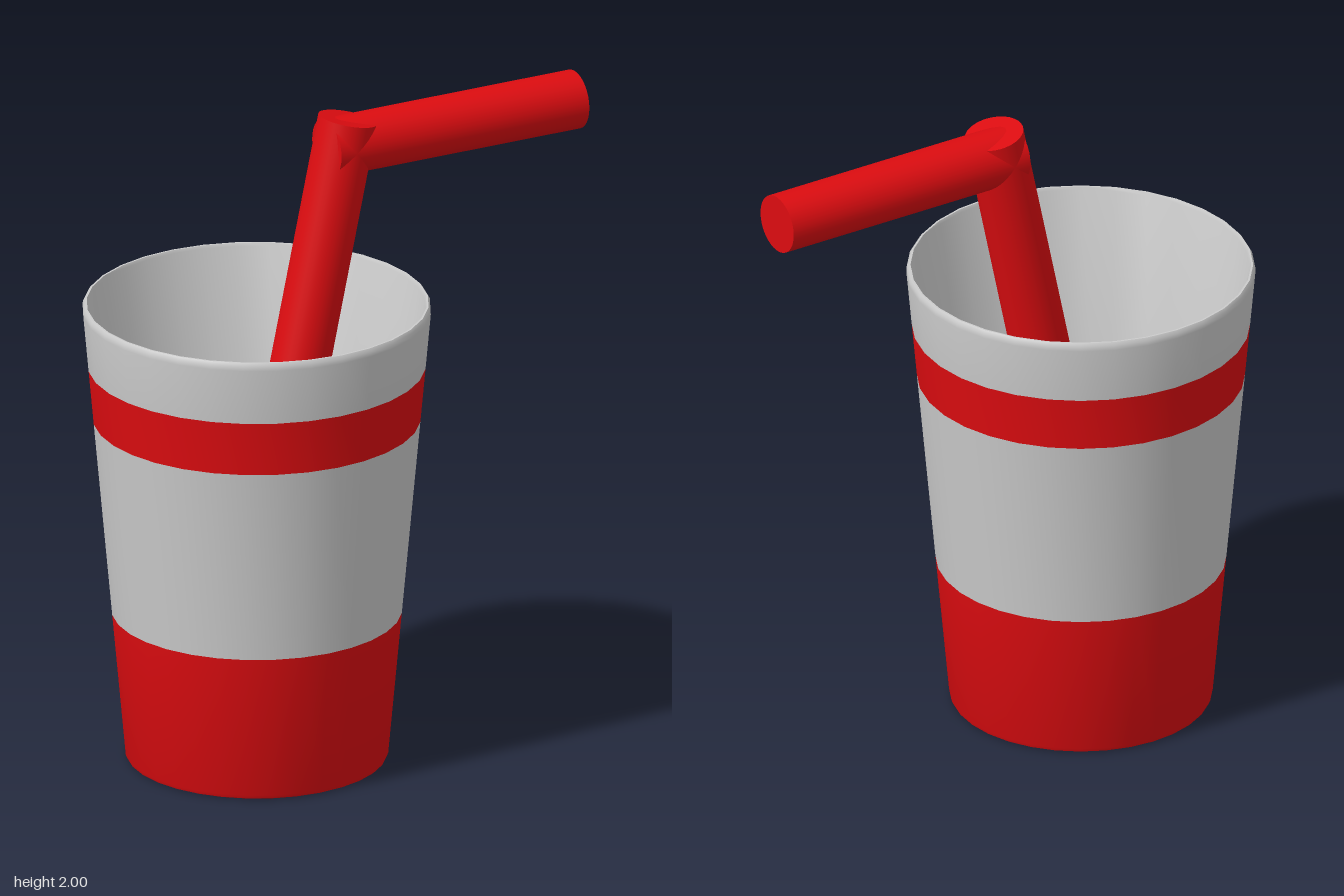
import * as THREE from 'three';
import { toCreasedNormals } from 'three/addons/utils/BufferGeometryUtils.js';

const SEGMENTS = 32;
const CUP_X = -0.287;
const STRAW_R = 0.09;

const grey = new THREE.MeshStandardMaterial({ color: 0xcccccc });
const red = new THREE.MeshStandardMaterial({ color: 0xdd0c10 });

// Outer radius of the tapered cup wall at height y
const wall = (y) => 0.395 + 0.091 * y;

// Surface of revolution about the cup axis, profile ordered bottom-outside-top-inside
function ring(name, profile, material) {
  const points = profile.map(([r, y]) => new THREE.Vector2(r, y));
  const geometry = toCreasedNormals(new THREE.LatheGeometry(points, SEGMENTS), 0.6);
  const mesh = new THREE.Mesh(geometry, material);
  mesh.name = name;
  return mesh;
}

// Closed straw tube between two points in the x-y plane
function strawTube(name, from, to) {
  const a = new THREE.Vector3(...from, 0);
  const b = new THREE.Vector3(...to, 0);
  const dir = b.clone().sub(a);
  const mesh = new THREE.Mesh(new THREE.CylinderGeometry(STRAW_R, STRAW_R, dir.length(), SEGMENTS), red);
  mesh.position.copy(a).add(b).multiplyScalar(0.5);
  mesh.quaternion.setFromUnitVectors(new THREE.Vector3(0, 1, 0), dir.normalize());
  mesh.name = name;
  return mesh;
}

export function createModel() {
  const model = new THREE.Group();
  model.name = 'cupWithStraw';

  const cup = new THREE.Group();
  cup.name = 'cup';
  cup.position.x = CUP_X;

  // Base with recessed underside and rounded foot
  cup.add(ring('lowerBand', [
    [0, 0.06], [0.29, 0.06], [0.305, 0.05], [0.31, 0.015], [0.325, 0],
    [0.383, 0], [0.392, 0.004], [wall(0.015), 0.015], [wall(0.465), 0.465],
  ], red));
  cup.add(ring('middleWall', [[wall(0.465), 0.465], [wall(1.08), 1.08]], grey));
  cup.add(ring('upperBand', [[wall(1.08), 1.08], [wall(1.25), 1.25]], red));

  // Top of the wall, rounded lip, inner wall and floor
  cup.add(ring('rimAndInside', [
    [wall(1.25), 1.25], [wall(1.425), 1.425], [0.524, 1.44], [0.518, 1.449],
    [0.512, 1.449], [0.508, 1.44], [0.384, 0.08], [0, 0.08],
  ], grey));
  model.add(cup);

  // Bent straw: tilted stem and level mouthpiece
  const straw = new THREE.Group();
  straw.name = 'straw';
  straw.add(strawTube('strawStem', [-0.157, 1.135], [0.027, 1.981]));
  straw.add(strawTube('strawMouthpiece', [-0.045, 1.9], [0.81, 1.9]));
  model.add(straw);

  return model;
}
